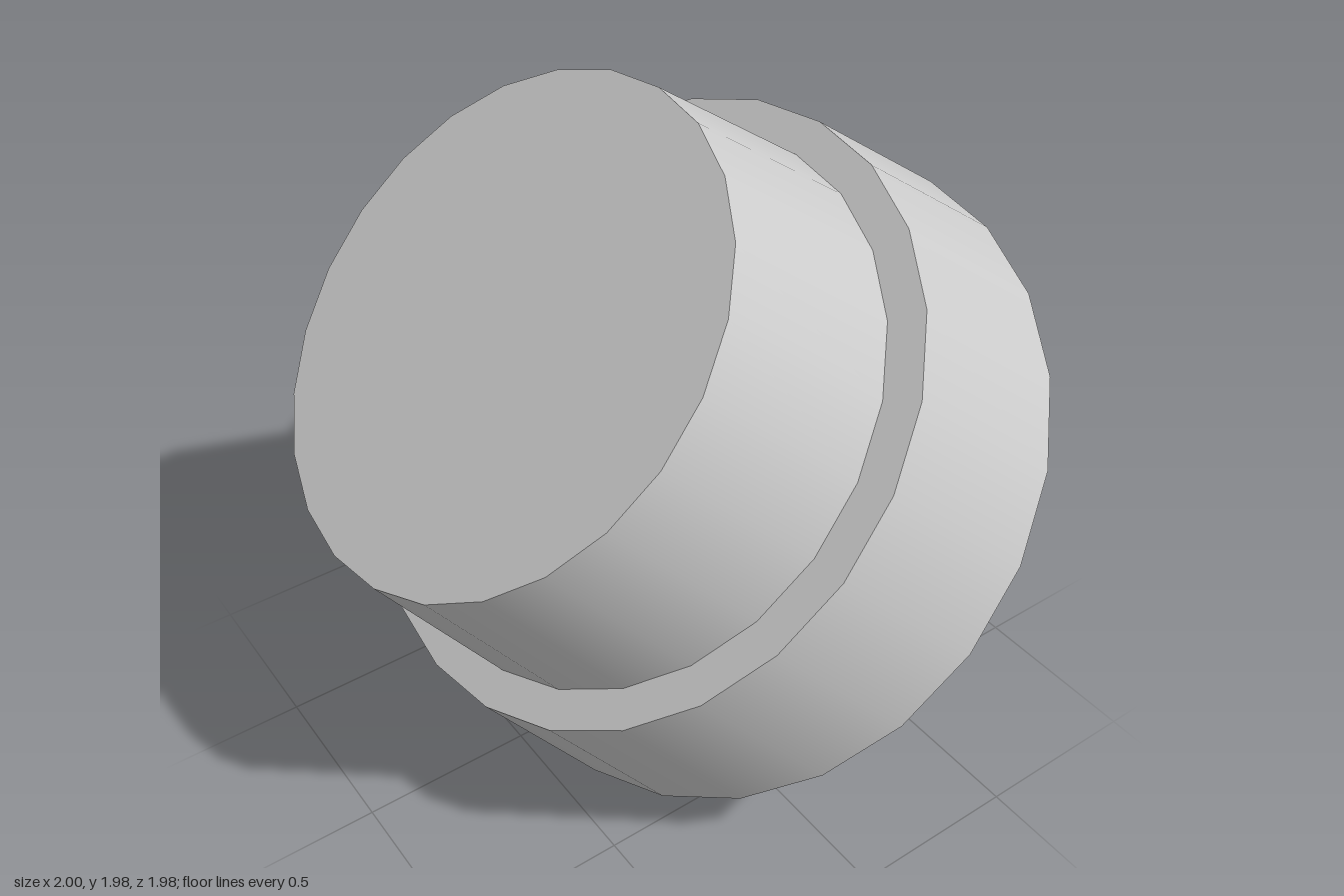
import * as THREE from 'three';

const SIDES = 24;
const STEP = 0.545; // height of each tier

export function createModel() {
  const group = new THREE.Group();
  group.name = 'tiltedTieredDrum';
  const material = new THREE.MeshStandardMaterial({ color: 0xcccccc });

  // Both tiers taper along one axis, leaning forward by 45 degrees
  const body = new THREE.Group();
  body.name = 'body';
  body.rotation.x = Math.PI / 4;
  body.position.set(0, 0.71, -0.28);
  group.add(body);

  const addTier = (name, topRadius, bottomRadius, level) => {
    const tier = new THREE.Mesh(
      new THREE.CylinderGeometry(topRadius, bottomRadius, STEP, SIDES), material);
    tier.name = name;
    tier.position.y = (level + 0.5) * STEP;
    body.add(tier);
  };

  addTier('lowerTier', 0.909, 1.0, 0);  // wide base with a narrow ledge
  addTier('upperTier', 0.707, 0.802, 1); // smaller tier on the ledge

  return group;
}
